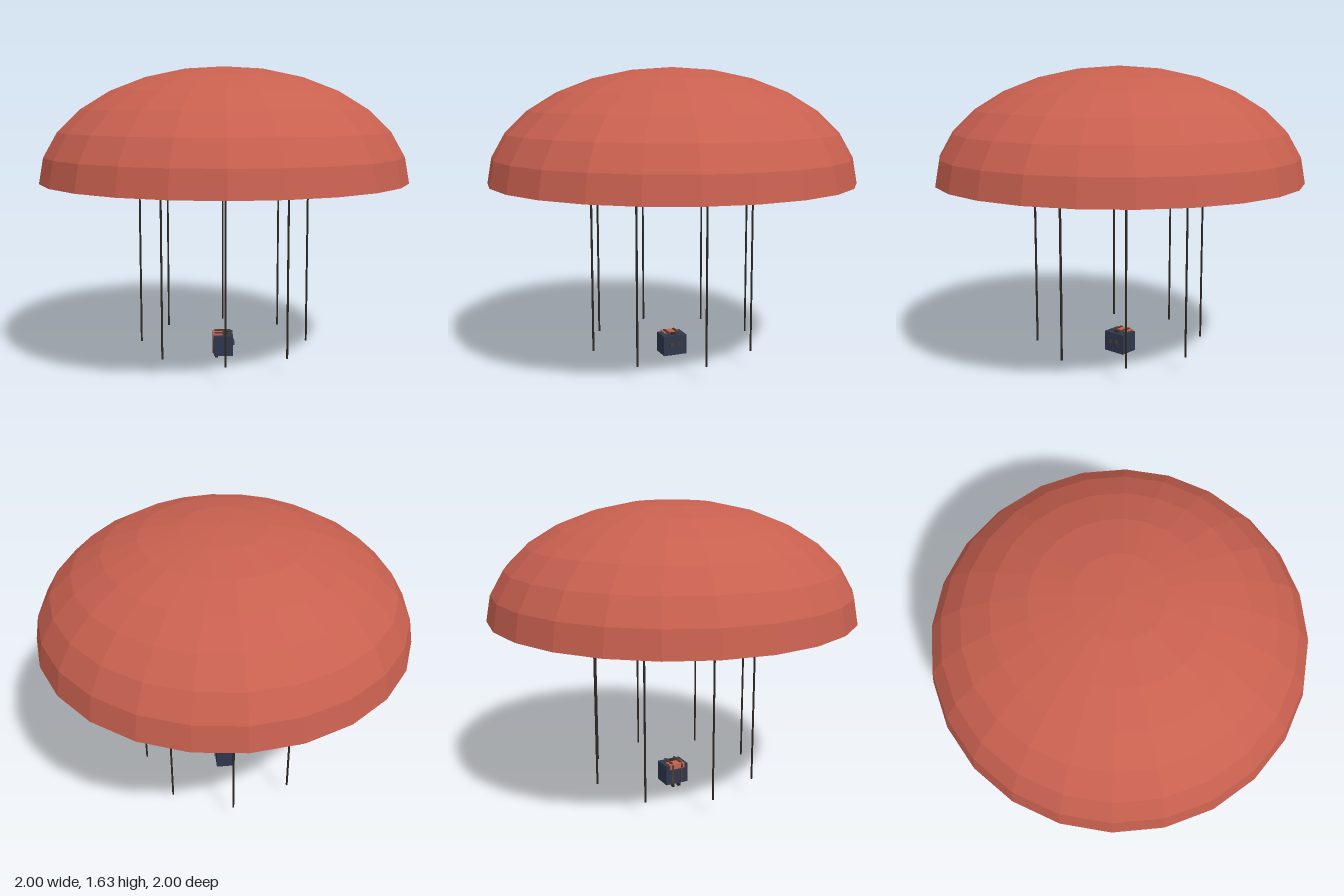
import * as THREE from 'three';

export function createModel() {
  const model = new THREE.Group();
  const paint = (name, color, extra = {}) =>
    Object.assign(new THREE.MeshStandardMaterial({ color, flatShading: true, ...extra }), { name });
  const red = paint('canopy red', 0xc8604f, { side: THREE.DoubleSide });
  const navy = paint('pack navy', 0x2f374c);
  const brown = paint('strap brown', 0x4d3b2e);
  const dark = paint('cord dark', 0x2e2823);

  const add = (parent, name, geometry, material, x = 0, y = 0, z = 0) => {
    const mesh = new THREE.Mesh(geometry, material);
    mesh.name = name;
    mesh.position.set(x, y, z);
    parent.add(mesh);
    return mesh;
  };

  // Open, flattened half dome
  const dome = new THREE.SphereGeometry(1, 24, 7, 0, Math.PI * 2, 0, Math.PI / 2);
  dome.scale(1, 0.615, 1);
  add(model, 'canopy', dome, red, 0, 1.015, 0);

  // Ring of eight vertical cords
  const cords = new THREE.Group();
  cords.name = 'cords';
  model.add(cords);
  const cord = new THREE.CylinderGeometry(0.006, 0.006, 0.975, 6);
  for (let i = 0; i < 8; i++) {
    const a = (i * Math.PI) / 4;
    add(cords, 'cord', cord, dark, 0.467 * Math.cos(a), 0.58, 0.467 * Math.sin(a));
  }

  // Small pack hanging at the centre
  const pack = new THREE.Group();
  pack.name = 'pack';
  model.add(pack);
  const box = (name, material, w, h, d, x, y, z) =>
    add(pack, name, new THREE.BoxGeometry(w, h, d), material, x, y, z);
  box('packBody', navy, 0.108, 0.112, 0.136, -0.004, 0.079, 0);

  // Red flap folded over the top and down the outer side
  box('flapTop', red, 0.05, 0.008, 0.09, -0.034, 0.139, 0);
  box('flapSide', red, 0.005, 0.03, 0.09, -0.06, 0.128, 0);

  // Paired straps around the pack, with feet below and buckles on the inner side
  for (const s of [-1, 1]) {
    box('strapTop', brown, 0.09, 0.006, 0.012, -0.008, 0.146, s * 0.028);
    box('strapSide', brown, 0.006, 0.11, 0.012, -0.061, 0.085, s * 0.028);
    box('strapBottom', brown, 0.09, 0.006, 0.012, -0.008, 0.021, s * 0.018);
    box('foot', dark, 0.018, 0.018, 0.014, -0.042, 0.009, s * 0.018);
    box('buckle', brown, 0.01, 0.02, 0.014, 0.054, 0.085, s * 0.022);
  }
  box('topHandle', dark, 0.02, 0.01, 0.03, 0.016, 0.139, 0);

  return model;
}
